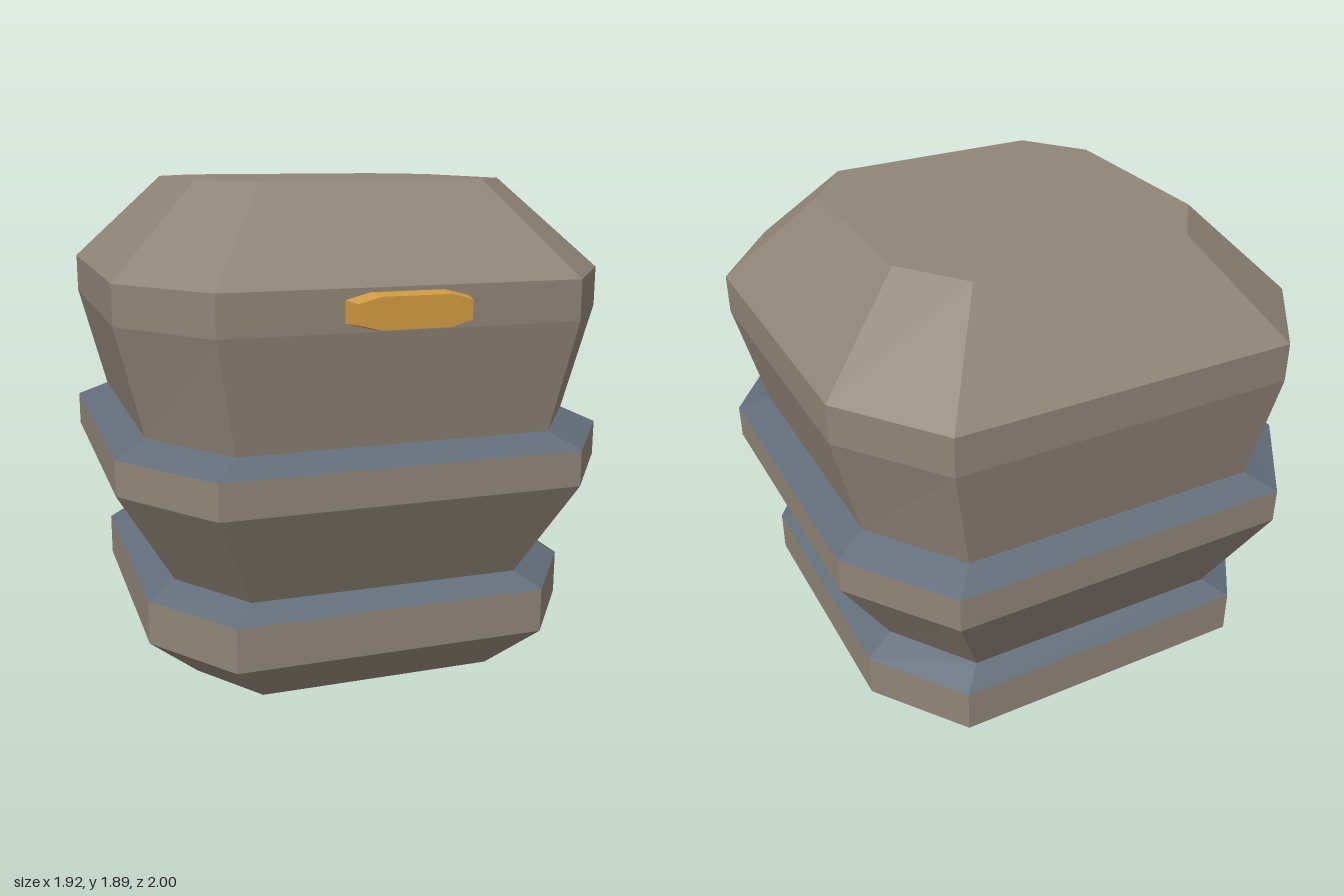
import * as THREE from 'three';

// Eight-sided loop: a rectangle with cut corners, counter-clockwise seen from the front (+z)
function octagon(hx, hy, cx, cy) {
  return [[cx, -hy], [hx, -cy], [hx, cy], [cx, hy], [-cx, hy], [-hx, cy], [-hx, -cy], [-cx, -hy]];
}

// Flat-shaded skin through loops of [x, y, z] points, with optional end caps
function loft(loops, capStart, capEnd) {
  const pos = [];
  const tri = (a, b, c) => pos.push(...a, ...b, ...c);
  for (let i = 0; i < loops.length - 1; i++) {
    const a = loops[i], b = loops[i + 1];
    for (let j = 0; j < a.length; j++) {
      const k = (j + 1) % a.length;
      tri(a[j], a[k], b[k]);
      tri(a[j], b[k], b[j]);
    }
  }
  const first = loops[0], last = loops[loops.length - 1];
  for (let j = 1; j < first.length - 1; j++) {
    if (capStart) tri(first[0], first[j + 1], first[j]);
    if (capEnd) tri(last[0], last[j], last[j + 1]);
  }
  const geo = new THREE.BufferGeometry();
  geo.setAttribute('position', new THREE.Float32BufferAttribute(pos, 3));
  geo.computeVertexNormals();
  return geo;
}

// Horizontal body section; corners start at 70% of the width and 60% of the depth
const BODY_Z = -0.02;
function ring([y, hx, hz]) {
  return octagon(hx, hz, hx * 0.703, hz * 0.6).map(([x, d]) => [x, y, BODY_Z - d]);
}

export function createModel() {
  const group = new THREE.Group();
  const material = (name, color) => {
    const m = new THREE.MeshStandardMaterial({ color, flatShading: true });
    m.name = name;
    return m;
  };
  const stone = material('taupe stone', 0x8f8478);
  const slate = material('blue slate', 0x626d79);
  const gold = material('gold', 0xd19a40);

  const add = (name, geometry, mat) => {
    const mesh = new THREE.Mesh(geometry, mat);
    mesh.name = name;
    group.add(mesh);
  };

  // Profile points: height, half width, half depth
  const foot = [0, 0.65, 0.69];
  const lowBottom = [0.19, 0.85, 0.87], lowTop = [0.36, 0.85, 0.87];
  const waist = [0.415, 0.74, 0.785];
  const midBottom = [0.795, 0.96, 0.98], midTop = [0.93, 0.96, 0.98];
  const neck = [0.985, 0.84, 0.877];
  const headBottom = [1.4, 0.945, 0.942], headTop = [1.55, 0.945, 0.942];
  const crown = [1.89, 0.605, 0.605];

  // Octagon seen from the front turns the right way round when laid flat with -z as depth
  const section = (profile, bottom, top) => loft(profile.map(ring), bottom, top);

  // Three stacked tiers
  add('lowerTier', section([foot, lowBottom, lowTop], true, false), stone);
  add('middleTier', section([waist, midBottom, midTop], false, false), stone);
  add('upperTier', section([neck, headBottom, headTop, crown], false, true), stone);

  // Sloping ledges between the tiers
  add('lowerLedge', section([lowTop, waist], false, false), slate);
  add('upperLedge', section([midTop, neck], false, false), slate);

  // Bevelled gold badge on the front
  const badgeLoop = (z, hx, hy, cx, cy) =>
    octagon(hx, hy, cx, cy).map(([x, y]) => [x, 1.472 + y, z]);
  add('badge', loft([
    badgeLoop(0.915, 0.225, 0.063, 0.135, 0.04),
    badgeLoop(1.0, 0.205, 0.056, 0.125, 0.035),
  ], true, true), gold);

  return group;
}
